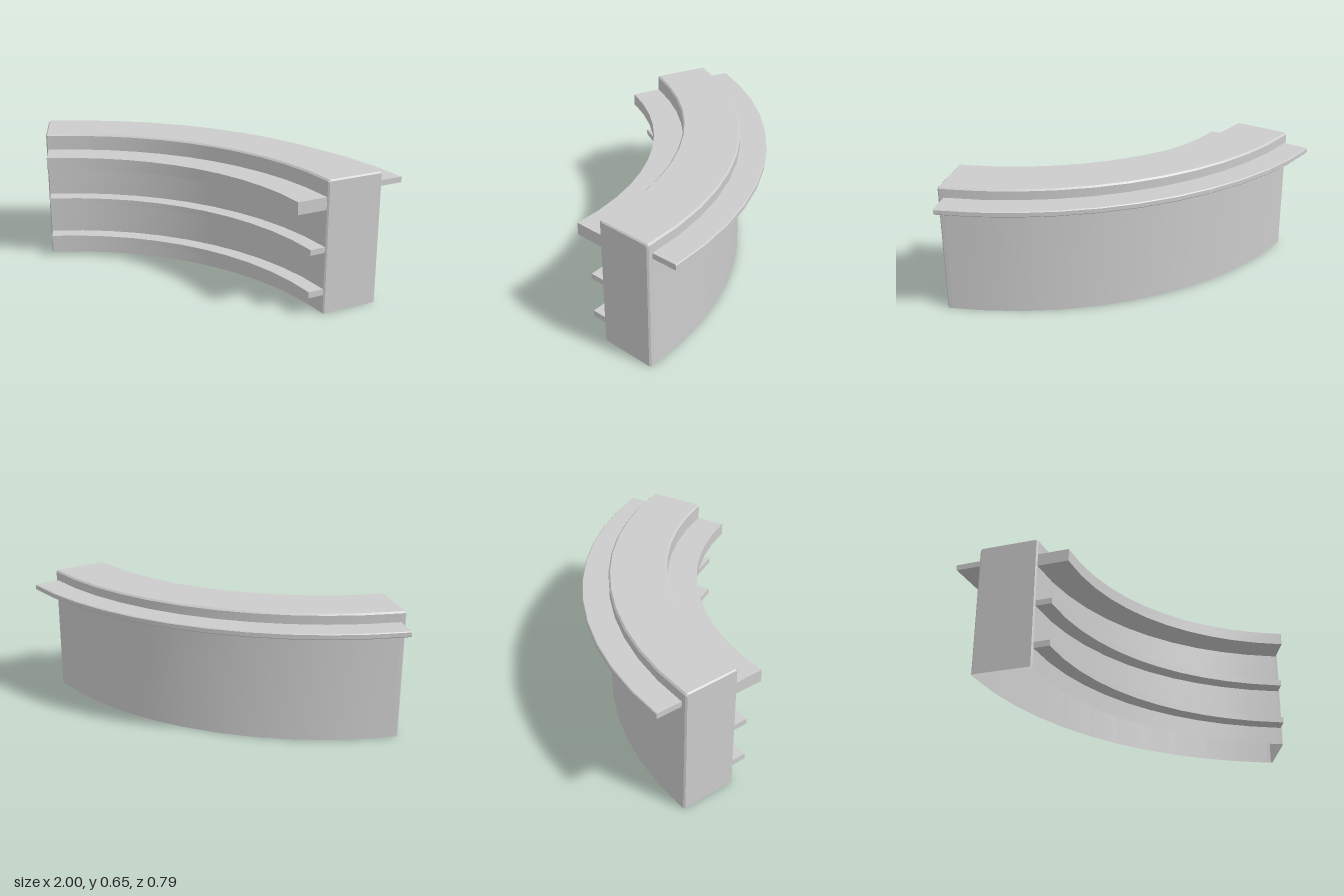
import * as THREE from 'three';
import { mergeGeometries } from 'three/addons/utils/BufferGeometryUtils.js';

const CZ = 1.414;                         // z of the arc centre
const RF = 1.383, RB = 1.676, H = 0.653;  // front radius, back radius, height
const SHELF_END = 33.5, RAIL_END = 34.1, WALL_END = 34.2, END = 34.45;

// Point at [radius, height] on the arc, angle in degrees from straight back
const pt = ([r, y], deg) => {
  const a = THREE.MathUtils.degToRad(deg);
  return [r * Math.sin(a), y, CZ - r * Math.cos(a)];
};

function geometry(points, index) {
  const g = new THREE.BufferGeometry();
  g.setAttribute('position', new THREE.Float32BufferAttribute(points.flat(), 3));
  g.setIndex(index);
  g.computeVertexNormals();
  return g;
}

// Band between two rows of points
function strip(P, Q) {
  const n = P.length, index = [];
  for (let i = 0; i < n - 1; i++) {
    index.push(i, i + 1, n + i + 1, i, n + i + 1, n + i);
  }
  return geometry([...P, ...Q], index);
}

// Profile swept along the arc: smooth lengthwise, sharp at profile corners
function sweep(profile, angles) {
  return profile.slice(1).map((q, i) => strip(
    angles.map(a => pt(profile[i], a)), angles.map(a => pt(q, a))));
}

// Flat end of a profile, facing outwards
function cap(profile, deg) {
  const index = [];
  for (let i = 1; i < profile.length - 1; i++) {
    index.push(...(deg > 0 ? [0, i + 1, i] : [0, i, i + 1]));
  }
  return geometry(profile.map(p => pt(p, deg)), index);
}

export function createModel() {
  const group = new THREE.Group();
  const material = new THREE.MeshStandardMaterial({ color: 0xcccccc, side: THREE.DoubleSide });
  const add = (name, parts) => {
    const mesh = new THREE.Mesh(mergeGeometries(parts), material);
    mesh.name = name;
    group.add(mesh);
  };

  // Shared angle steps, so that all the panels meet exactly
  const shelfAngles = Array.from({ length: 12 }, (_, i) => SHELF_END * (i / 5.5 - 1));
  const railAngles = [-RAIL_END, ...shelfAngles, RAIL_END];
  const wallAngles = [-WALL_END, ...railAngles, WALL_END];

  // Hollow projections, open towards the inside of the body
  const rails = [
    ['lowerRail', 1.305, 0.092, 0.122],
    ['middleRail', 1.305, 0.303, 0.331],
    ['upperRail', 1.231, 0.511, 0.572],
  ];
  for (const [name, r, y0, y1] of rails) {
    const profile = [[RF, y0], [r, y0], [r, y1], [RF, y1]];
    add(name, [...sweep(profile, railAngles), cap(profile, RAIL_END), cap(profile, -RAIL_END)]);
  }

  // Counter shelf along the back, with slightly eased outer edges
  const s0 = 0.573, s1 = 0.601, rs = 1.81, e = 0.004;
  const shelf = [[RB, s1], [rs - e, s1], [rs, s1 - e], [rs, s0 + e], [rs - e, s0], [RB, s0]];
  add('backShelf', [...sweep(shelf, shelfAngles), cap(shelf, SHELF_END), cap(shelf, -SHELF_END)]);

  // Front panel: bands between the rails, and full-height strips at both ends
  const b = 0.008, top = H - b;
  const edges = [0, ...rails.flatMap(r => [r[2], r[3]]), top];
  const front = [];
  for (let i = 0; i < edges.length; i += 2) {
    front.push(...sweep([[RF, edges[i]], [RF, edges[i + 1]]], railAngles));
  }
  for (const a of [[-WALL_END, -RAIL_END], [RAIL_END, WALL_END]]) {
    front.push(...sweep([[RF, 0], [RF, top]], a));
  }
  add('frontPanel', front);

  // Back panel above and below the shelf
  const back = [
    ...sweep([[RB, top], [RB, s1]], shelfAngles),
    ...sweep([[RB, s0], [RB, 0]], shelfAngles),
  ];
  for (const a of [[-WALL_END, -RAIL_END, -SHELF_END], [SHELF_END, RAIL_END, WALL_END]]) {
    back.push(...sweep([[RB, top], [RB, 0]], a));
  }
  add('backPanel', back);

  // Top with bevelled long edges
  const topProfile = [[RF, top], [RF + b, H], [RB - b, H], [RB, top]];
  add('topPanel', sweep(topProfile, wallAngles));

  // End panels with a bevelled rim
  const outline = [[RF, 0], ...topProfile, [RB, 0]];
  const mid = (RF + RB) / 2;
  const inset = outline.map(([r, y]) => [mid + (r - mid) * 0.95, y * 0.99]);
  for (const [name, s] of [['leftEnd', 1], ['rightEnd', -1]]) {
    const line = i => {
      const l = [pt(outline[i], s * WALL_END), pt(inset[i], s * END)];
      return s > 0 ? l : l.reverse();
    };
    const rim = outline.slice(1).map((_, i) => strip(line(i), line(i + 1)));
    add(name, [...rim, cap(inset, s * END)]);
  }

  return group;
}
